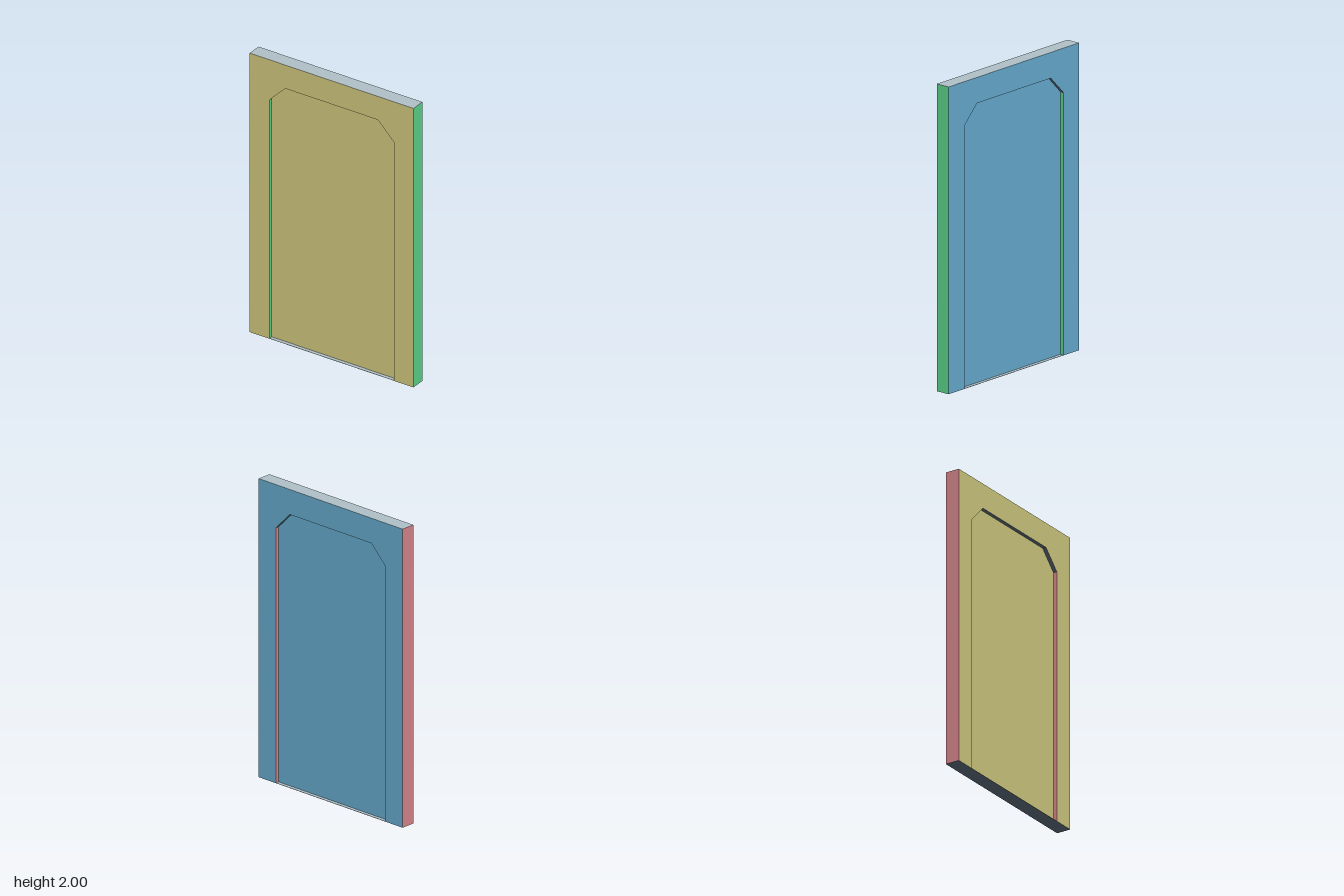
import * as THREE from 'three';

const W = 0.615, H = 2, D = 0.049; // half width, height, half depth
const RECESS = 0.025;

function material(name, color) {
  const m = new THREE.MeshStandardMaterial({ color });
  m.name = name;
  return m;
}

export function createModel() {
  const group = new THREE.Group();
  group.name = 'doorPanel';

  const green = material('green', 0x58cd85);
  const rose = material('rose', 0xce8186);
  const paleGrey = material('paleGrey', 0xaebec6);
  const slate = material('slate', 0x56626f);
  const khaki = material('khaki', 0xc9c27a);
  const blue = material('blue', 0x63a6c9);

  function add(name, geometry, mat, parent = group) {
    const mesh = new THREE.Mesh(geometry, mat);
    mesh.name = name;
    parent.add(mesh);
    return mesh;
  }

  // Recess outline, counter-clockwise, with clipped upper corners
  const outline = [
    [-0.468, 0.002], [0.468, 0.002], [0.468, 1.71],
    [0.348, 1.832], [-0.348, 1.832], [-0.468, 1.71],
  ].map(([x, y]) => new THREE.Vector2(x, y));

  const frameShape = new THREE.Shape([
    new THREE.Vector2(-W, 0), new THREE.Vector2(W, 0),
    new THREE.Vector2(W, H), new THREE.Vector2(-W, H),
  ]);
  frameShape.holes.push(new THREE.Path(outline));
  const recessShape = new THREE.Shape(outline);

  // One recess wall between two outline points, facing into the recess
  function wallGeometry(a, b) {
    const z0 = D - RECESS, z1 = D;
    const g = new THREE.BufferGeometry();
    g.setAttribute('position', new THREE.Float32BufferAttribute([
      a.x, a.y, z0, b.x, b.y, z0, b.x, b.y, z1, a.x, a.y, z1,
    ], 3));
    g.setIndex([0, 2, 1, 0, 3, 2]);
    g.computeVertexNormals();
    return g;
  }

  // Colour follows the direction a face looks in
  function wallMaterial(a, b, flipped) {
    const nx = -(b.y - a.y), ny = b.x - a.x; // inward normal
    if (Math.abs(ny) > 0.01) return ny > 0 ? paleGrey : slate;
    return (nx > 0) !== flipped ? green : rose;
  }

  // Front and back: the same recessed face, turned half around
  for (const [name, mat, flipped] of [['front', khaki, false], ['back', blue, true]]) {
    const side = new THREE.Group();
    side.name = name + 'Side';
    if (flipped) side.rotation.y = Math.PI;
    add(name + 'Frame', new THREE.ShapeGeometry(frameShape), mat, side).position.z = D;
    add(name + 'Recess', new THREE.ShapeGeometry(recessShape), mat, side).position.z = D - RECESS;
    outline.forEach((a, i) => {
      const b = outline[(i + 1) % outline.length];
      const wall = wallGeometry(a, b);
      // Inward walls must look towards the middle of the recess
      const n = wall.attributes.normal;
      const inward = n.getX(0) * -(b.y - a.y) + n.getY(0) * (b.x - a.x);
      if (inward < 0) {
        wall.setIndex([0, 1, 2, 0, 2, 3]);
        wall.computeVertexNormals();
      }
      add(name + 'RecessWall' + (i + 1), wall, wallMaterial(a, b, flipped), side);
    });
    group.add(side);
  }

  // Outer edges
  const sideEdge = new THREE.PlaneGeometry(2 * D, H);
  const endEdge = new THREE.PlaneGeometry(2 * W, 2 * D);
  const left = add('leftEdge', sideEdge, green);
  left.position.set(W, H / 2, 0);
  left.rotation.y = Math.PI / 2;
  const right = add('rightEdge', sideEdge, rose);
  right.position.set(-W, H / 2, 0);
  right.rotation.y = -Math.PI / 2;
  const top = add('topEdge', endEdge, paleGrey);
  top.position.y = H;
  top.rotation.x = -Math.PI / 2;
  const bottom = add('bottomEdge', endEdge, slate);
  bottom.rotation.x = Math.PI / 2;

  return group;
}
